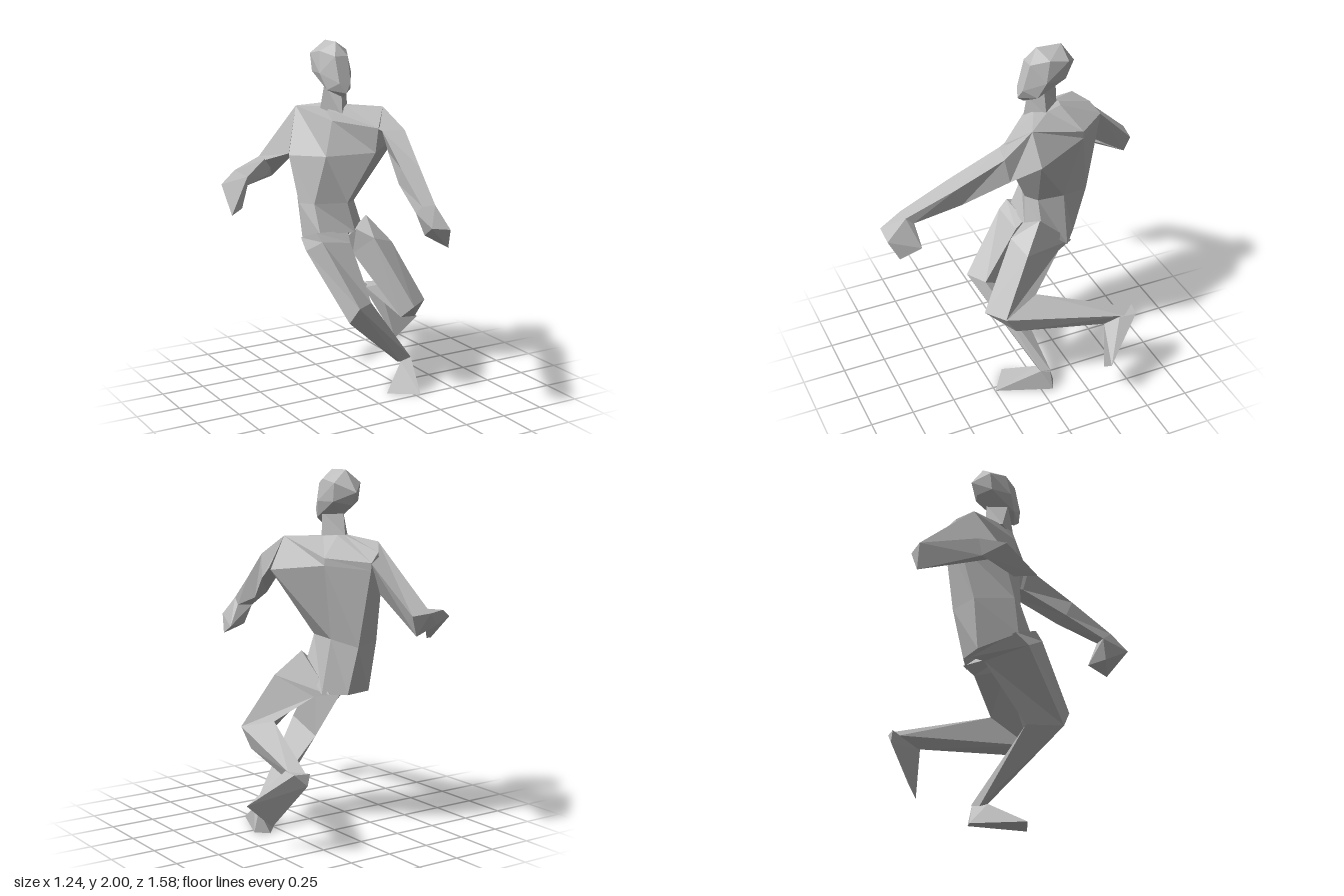
import * as THREE from 'three';
import { ConvexGeometry } from 'three/addons/geometries/ConvexGeometry.js';

const grey = new THREE.MeshStandardMaterial({ color: 0xbdbdbd });
grey.name = 'plain grey';

const vec = (p) => new THREE.Vector3(p[0], p[1], p[2]);

// Faceted skin through a series of cross-sections, closed at both ends
function loft(rings) {
  const n = rings[0].length;
  const pts = rings.map((r) => r.map(vec));
  const tris = [];
  for (let i = 0; i < pts.length - 1; i++) {
    for (let j = 0; j < n; j++) {
      const k = (j + 1) % n;
      const a = pts[i][j], b = pts[i][k], c = pts[i + 1][k], d = pts[i + 1][j];
      tris.push([a, b, c], [a, c, d]);
    }
  }
  const last = pts[pts.length - 1];
  for (let j = 1; j < n - 1; j++) {
    tris.push([pts[0][0], pts[0][j + 1], pts[0][j]], [last[0], last[j], last[j + 1]]);
  }
  // turn the faces outwards whichever way the sections run
  let volume = 0;
  for (const [a, b, c] of tris) volume += a.dot(b.clone().cross(c));
  const flat = tris.flatMap(([a, b, c]) => (volume > 0 ? [a, b, c] : [a, c, b]));
  const geo = new THREE.BufferGeometry().setFromPoints(flat);
  geo.computeVertexNormals();
  return geo;
}

const hull = (points) => new ConvexGeometry(points.map(vec));

export function createModel() {
  const model = new THREE.Group();
  model.name = 'runningFigure';
  const add = (name, geo) => {
    const mesh = new THREE.Mesh(geo, grey);
    mesh.name = name;
    model.add(mesh);
  };

  // Torso, hips to neck: left, front left, front right, right, back right, spine, back left
  add('torso', loft([
    [[0.11, 0.93, -0.12], [0.02, 0.93, -0.05], [-0.2, 0.94, -0.06], [-0.25, 0.9, -0.18], [-0.14, 0.8, -0.37], [0, 0.79, -0.37], [0.11, 0.79, -0.28]],
    [[0.05, 1.1, -0.12], [-0.02, 1.1, -0.07], [-0.2, 1.1, -0.13], [-0.255, 1.1, -0.21], [-0.16, 1.08, -0.41], [-0.01, 1.06, -0.45], [0.05, 1.09, -0.28]],
    [[0.275, 1.46, -0.03], [0.08, 1.4, 0.07], [-0.14, 1.37, -0.1], [-0.27, 1.36, -0.3], [-0.13, 1.4, -0.49], [-0.03, 1.48, -0.53], [0.14, 1.5, -0.345]],
    [[0.18, 1.64, -0.02], [0.08, 1.54, 0.1], [-0.1, 1.57, -0.1], [-0.16, 1.62, -0.42], [-0.1, 1.57, -0.5], [-0.03, 1.52, -0.535], [0.14, 1.54, -0.345]],
    [[0.03, 1.645, -0.18], [0, 1.64, -0.11], [-0.09, 1.62, -0.11], [-0.1, 1.64, -0.2], [-0.07, 1.65, -0.27], [-0.04, 1.65, -0.28], [0, 1.65, -0.27]],
  ]));

  // Neck and head
  add('neck', loft([
    [[0.035, 1.63, -0.17], [-0.05, 1.59, -0.07], [-0.12, 1.63, -0.2], [-0.05, 1.65, -0.27]],
    [[0.025, 1.77, -0.16], [-0.045, 1.72, -0.09], [-0.115, 1.77, -0.16], [-0.045, 1.77, -0.26]],
  ]));
  const head = [
    [-0.05, 2, -0.145], [-0.04, 2, -0.285], // crown
    [-0.05, 1.88, -0.37], [-0.05, 1.81, -0.33], [-0.05, 1.755, -0.25], // back
    [-0.045, 1.725, -0.035], [-0.045, 1.7, -0.07], // chin
  ];
  for (const s of [-1, 1]) {
    const x = (w) => -0.045 + s * w;
    head.push([x(0.085), 1.95, -0.185], [x(0.087), 1.93, -0.295], [x(0.04), 1.925, -0.09]);
    head.push([x(0.1), 1.83, -0.16], [x(0.083), 1.83, -0.28]);
    head.push([x(0.035), 1.78, -0.05], [x(0.075), 1.74, -0.12]);
  }
  add('head', hull(head));

  // Left arm reaching forward: top, outer, bottom, inner
  const leftWrist = [[0.08, 1.22, 0.67], [0.085, 1.18, 0.63], [0, 1.175, 0.61], [0, 1.22, 0.67]];
  add('leftArm', loft([
    [[0.18, 1.64, -0.02], [0.285, 1.47, -0.03], [0.2, 1.45, 0], [0.06, 1.55, 0.06]],
    [[0.215, 1.53, 0.155], [0.23, 1.395, 0.13], [0.13, 1.41, 0.12], [0.085, 1.53, 0.13]],
    [[0.15, 1.37, 0.41], [0.13, 1.255, 0.365], [0.045, 1.28, 0.37], [0.035, 1.37, 0.41]],
    leftWrist,
  ]));
  add('leftHand', hull([...leftWrist,
    [-0.015, 1.13, 0.785], [0.1, 1.11, 0.785], [0.125, 1, 0.73], [0.15, 1.055, 0.61], [0.03, 1.06, 0.65]]));

  // Right arm swung back: top, back, bottom, outer
  const rightWrist = [[-0.475, 1.245, -0.59], [-0.46, 1.16, -0.56], [-0.44, 1.17, -0.49], [-0.44, 1.22, -0.49]];
  add('rightArm', loft([
    [[-0.16, 1.62, -0.42], [-0.03, 1.515, -0.535], [-0.13, 1.36, -0.45], [-0.27, 1.37, -0.3]],
    [[-0.22, 1.27, -0.795], [-0.11, 1.26, -0.78], [-0.15, 1.15, -0.765], [-0.25, 1.27, -0.66]],
  ]));
  add('rightForearm', hull([...rightWrist, [-0.22, 1.27, -0.795], [-0.11, 1.26, -0.78],
    [-0.15, 1.15, -0.765], [-0.25, 1.28, -0.65], [-0.24, 1.18, -0.65]]));
  add('rightHand', hull([...rightWrist, [-0.6, 1.19, -0.5], [-0.62, 1.045, -0.32], [-0.52, 1.06, -0.4]]));

  // Left leg, lower leg folded back: outer, front, inner, back
  const leftKnee = [[0.33, 0.55, 0.2], [0.21, 0.545, 0.28], [0.18, 0.465, 0.19], [0.25, 0.61, -0.02]];
  add('leftThigh', loft([
    [[0.12, 1.01, -0.1], [0.02, 0.95, -0.04], [-0.03, 0.88, -0.1], [0.08, 0.79, -0.32]],
    [[0.22, 0.865, 0.02], [0.08, 0.91, 0.06], [0.02, 0.8, -0.08], [0.12, 0.77, -0.22]],
    leftKnee,
  ]));
  add('leftCalf', hull([...leftKnee, [0.31, 0.435, 0.13],
    [0.46, 0.455, -0.48], [0.41, 0.39, -0.39], [0.375, 0.43, -0.53], [0.4, 0.455, -0.55]]));
  add('leftFoot', hull([
    [0.46, 0.455, -0.45], [0.41, 0.39, -0.38], [0.47, 0.455, -0.55], [0.385, 0.455, -0.57],
    [0.4, 0.39, -0.57], [0.62, 0.26, -0.325], [0.48, 0.13, -0.355]]));

  // Right leg, bearing the weight: front, inner, back, outer
  add('rightLeg', loft([
    [[-0.23, 0.955, -0.05], [-0.02, 0.94, -0.07], [-0.04, 0.79, -0.35], [-0.25, 0.9, -0.2]],
    [[-0.22, 0.91, 0], [-0.03, 0.88, -0.02], [-0.04, 0.79, -0.26], [-0.26, 0.84, -0.12]],
    [[-0.125, 0.575, 0.25], [-0.01, 0.575, 0.18], [-0.05, 0.48, 0.01], [-0.155, 0.48, 0.19]],
    [[0.3, 0.12, 0], [0.37, 0.135, 0], [0.38, 0.12, -0.06], [0.31, 0.1, -0.05]],
  ]));
  add('rightFoot', hull([
    [0.3, 0.12, 0], [0.37, 0.135, 0], [0.375, 0.13, -0.055], [0.41, 0.01, -0.06],
    [0.33, 0, -0.1], [0.28, 0, 0.25], [0.12, 0, 0.14]]));

  return model;
}
